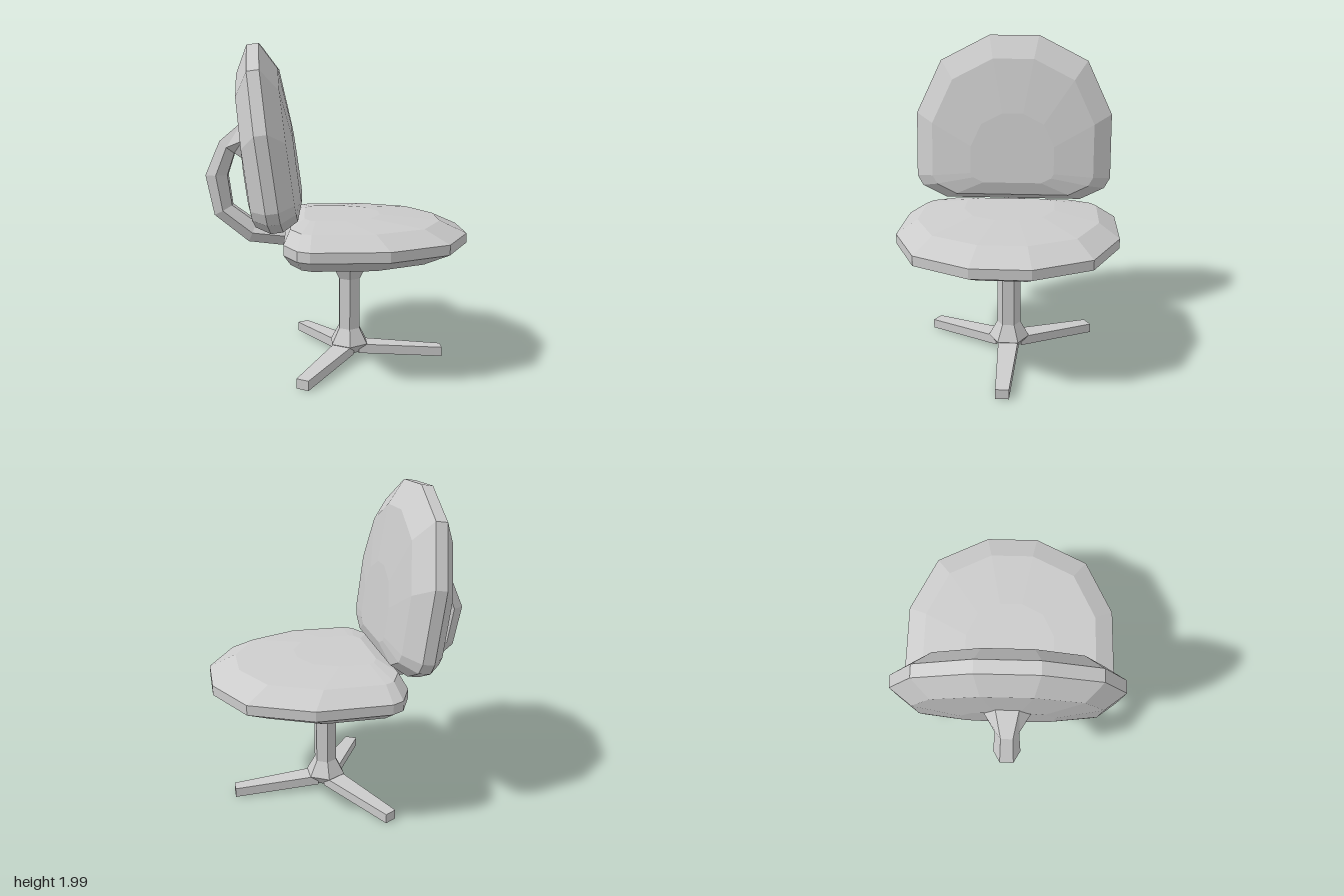
import * as THREE from 'three';
import { ConvexGeometry } from 'three/addons/geometries/ConvexGeometry.js';

const material = new THREE.MeshStandardMaterial({ color: 0xcccccc, flatShading: true, side: THREE.DoubleSide });

function addMesh(parent, geometry, name) {
  const mesh = new THREE.Mesh(geometry, material);
  mesh.name = name;
  parent.add(mesh);
  return mesh;
}

// Faceted pad: one mirrored outline, stacked in shrinking rings above and below
function cushionGeometry() {
  const half = [[0, 0.47], [0.08, 0.635], [0.15, 0.675], [0.59, 0.675], [0.95, 0.505], [1.12, 0.17]];
  const outline = [...half, ...half.map(([u, w]) => [u, -w])];
  const rings = [[0.03, 1], [0.105, 0.82], [0.133, 0.42]]; // height, scale
  const points = [];
  for (const side of [-1, 1]) {
    for (const [h, s] of rings) {
      for (const [u, w] of outline) {
        points.push(new THREE.Vector3(0.21 + (u - 0.21) * s, side * h, w * s));
      }
    }
  }
  return new ConvexGeometry(points);
}

// Six-sided curved bar, from pairs of outer and inner points in the xy plane
function bracketGeometry() {
  const pairs = [
    [-0.5, 1.56, -0.5, 1.27], [-0.57, 1.535, -0.57, 1.3], [-0.72, 1.41, -0.63, 1.335],
    [-0.81, 1.2, -0.675, 1.2], [-0.76, 0.95, -0.65, 1.01], [-0.55, 0.78, -0.5, 0.9],
    [-0.25, 0.745, -0.25, 0.875],
  ];
  const positions = [], index = [];
  pairs.forEach(([ox, oy, ix, iy], i) => {
    const radius = Math.hypot(ox - ix, oy - iy) / Math.sqrt(3);
    for (let j = 0; j < 6; j++) {
      const a = Math.PI / 6 + (j * Math.PI) / 3;
      const t = 0.5 + Math.cos(a) / Math.sqrt(3);
      positions.push(ix + (ox - ix) * t, iy + (oy - iy) * t, radius * Math.sin(a));
      if (i < pairs.length - 1) {
        const p = i * 6 + j, q = i * 6 + ((j + 1) % 6);
        index.push(p, q + 6, q, p, p + 6, q + 6);
      }
    }
  });
  const geometry = new THREE.BufferGeometry();
  geometry.setAttribute('position', new THREE.Float32BufferAttribute(positions, 3));
  geometry.setIndex(index);
  geometry.computeVertexNormals();
  return geometry;
}

// Foot bar along +x, narrowing and dropping toward its tip
function footGeometry() {
  const geometry = new THREE.BoxGeometry(1, 0.06, 2);
  const p = geometry.attributes.position;
  for (let i = 0; i < p.count; i++) {
    const tip = p.getX(i) > 0;
    p.setXYZ(i, tip ? 0.605 : 0.06, p.getY(i) + (tip ? 0.03 : 0.07), p.getZ(i) * (tip ? 0.04 : 0.065));
  }
  geometry.computeVertexNormals();
  return geometry;
}

export function createModel() {
  const model = new THREE.Group();
  model.name = 'swivelChair';

  // Seat and backrest share one pad shape
  const pad = cushionGeometry();
  const seat = addMesh(model, pad, 'seat');
  seat.position.set(-0.32, 0.818, 0);

  const backrest = addMesh(model, pad, 'backrest');
  backrest.scale.set(0.965, 1.18, 0.965);
  backrest.rotation.z = THREE.MathUtils.degToRad(97.5);
  backrest.position.set(-0.355, 0.915, 0);

  addMesh(model, bracketGeometry(), 'backBracket');

  // Hexagonal post, flared at both ends, with three feet
  const base = new THREE.Group();
  base.name = 'base';
  base.position.x = 0.085;
  model.add(base);

  const profile = [[0, 0.04], [0.08, 0.04], [0.13, 0.1], [0.075, 0.2], [0.075, 0.53], [0.145, 0.66], [0.2, 0.695], [0, 0.72]];
  addMesh(base, new THREE.LatheGeometry(profile.map(([r, y]) => new THREE.Vector2(r, y)), 6), 'post');

  const foot = footGeometry();
  for (let i = 0; i < 3; i++) {
    addMesh(base, foot, 'foot' + (i + 1)).rotation.y = (i * Math.PI * 2) / 3;
  }
  return model;
}
